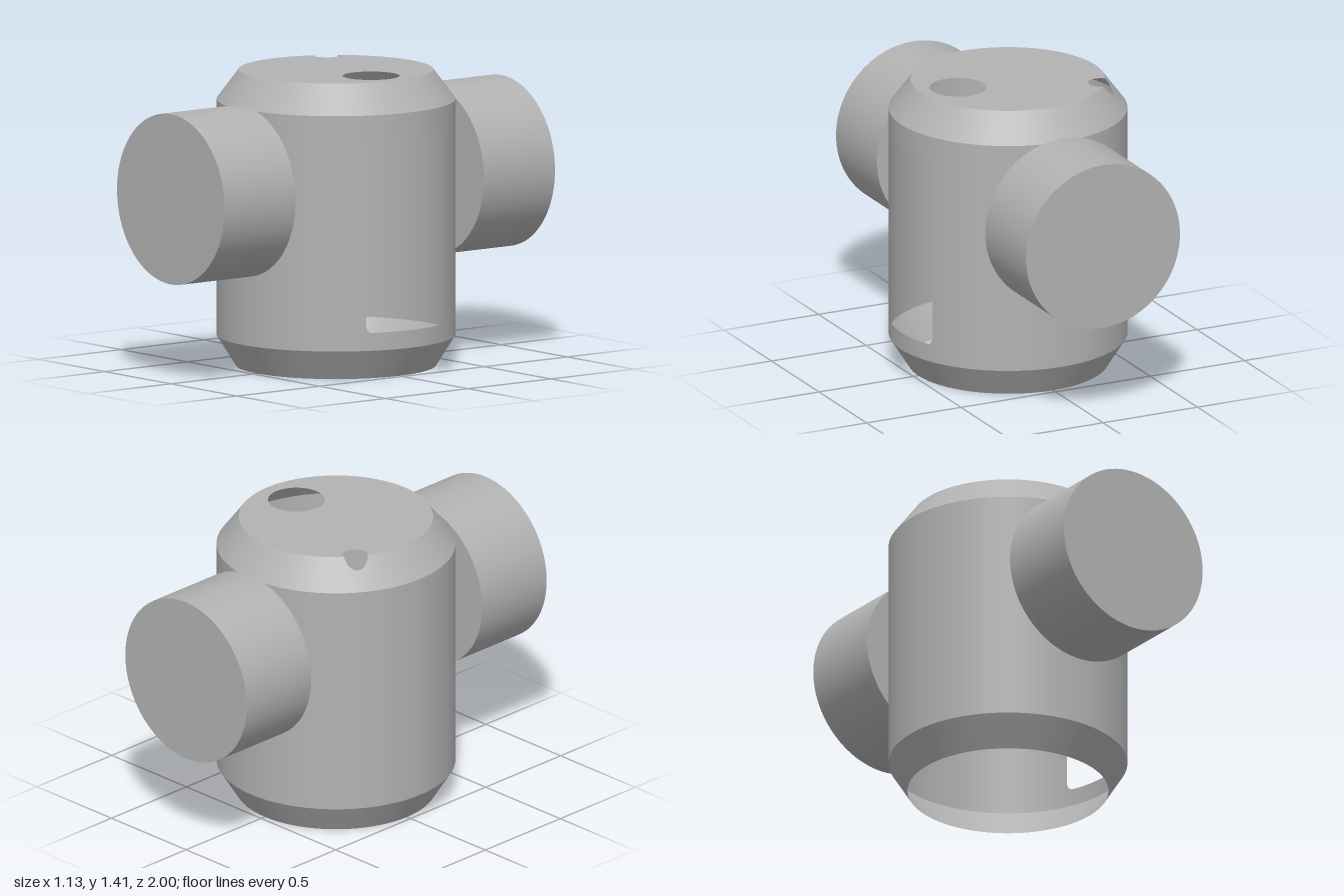
import * as THREE from 'three';
import { ParametricGeometry } from 'three/addons/geometries/ParametricGeometry.js';

const R = 0.565, RIM = 0.46, FOOT = 0.475;           // body, top rim and foot radii
const Y1 = 0.145, Y2 = 1.27, Y3 = 1.41;              // lower chamfer, upper chamfer, top
const WIN = { half: 0.23, low: 0.23, high: 1.15, r: 0.03 };
const PORT = { x: 0.265, r: 0.135 };                 // large hole in the top
const VENT = { x: -0.37, y: 0.24, r: 0.06 };         // small hole cut across the rim (y is -z)

export function createModel() {
  const model = new THREE.Group();
  model.name = 'housing';
  const grey = new THREE.MeshStandardMaterial({ color: 0xb2b2b2, side: THREE.DoubleSide });
  grey.name = 'grey';

  const add = (name, geometry) => {
    const mesh = new THREE.Mesh(geometry, grey);
    mesh.name = name;
    model.add(mesh);
    return mesh;
  };

  // Thin sheet around the axis; lower and upper give [radius, height] at an angle.
  const sheet = (name, from, to, slices, lower, upper) =>
    add(name, new ParametricGeometry((u, v, target) => {
      const a = from + (to - from) * u;
      const [r0, y0] = lower(a), [r1, y1] = upper(a);
      const r = r0 + (r1 - r0) * v;
      target.set(r * Math.cos(a), y0 + (y1 - y0) * v, -r * Math.sin(a));
    }, slices, 1));
  const ring = (r, y) => () => [r, y];
  const TURN = Math.PI * 2;

  // Lower chamfer, open underneath
  sheet('lowerChamfer', 0, TURN, 96, ring(FOOT, 0), ring(R, Y1));

  // Straight wall with a rounded window on the +x side
  const w = Math.asin(WIN.half / R);
  const inset = (a) => {
    const t = Math.max(0, Math.abs(R * Math.sin(a)) - (WIN.half - WIN.r));
    return WIN.r - Math.sqrt(Math.max(0, WIN.r ** 2 - t * t));
  };
  sheet('wall', w, TURN - w, 84, ring(R, Y1), ring(R, Y2));
  sheet('windowSill', -w, w, 64, ring(R, Y1), (a) => [R, WIN.low + inset(a)]);
  sheet('windowLintel', -w, w, 64, (a) => [R, WIN.high - inset(a)], ring(R, Y2));

  // Upper chamfer, notched by the small hole
  const d = Math.hypot(VENT.x, VENT.y), va = Math.atan2(VENT.y, VENT.x);
  const spread = Math.acos((RIM ** 2 + d * d - VENT.r ** 2) / (2 * RIM * d));
  const notch = (a) => {
    const s = d * Math.sin(a - va);
    const r = d * Math.cos(a - va) + Math.sqrt(Math.max(0, VENT.r ** 2 - s * s));
    return [r, Y3 - (Y3 - Y2) * (r - RIM) / (R - RIM)];
  };
  sheet('upperChamfer', va + spread, va - spread + TURN, 92, ring(R, Y2), ring(RIM, Y3));
  sheet('notchedChamfer', va - spread, va + spread, 24, ring(R, Y2), notch);

  // Flat top with the large hole and the rest of the small one
  const top = new THREE.Shape();
  top.absarc(0, 0, RIM, va + spread, va - spread + TURN, false);
  const beta = Math.acos((RIM * Math.cos(spread) - d) / VENT.r);
  top.absarc(VENT.x, VENT.y, VENT.r, va - beta, va + beta, true);
  const hole = new THREE.Path();
  hole.absarc(PORT.x, 0, PORT.r, 0, TURN, true);
  top.holes.push(hole);
  add('topPlate', new THREE.ShapeGeometry(top, 48).rotateX(-Math.PI / 2).translate(0, Y3, 0));

  // Solid cylinders at the front and back
  for (const [name, side] of [['frontCylinder', 1], ['backCylinder', -1]]) {
    const geometry = new THREE.CylinderGeometry(0.407, 0.407, 0.43, 96).rotateX(Math.PI / 2);
    add(name, geometry).position.set(0, 0.882, side * 0.785);
  }
  return model;
}
